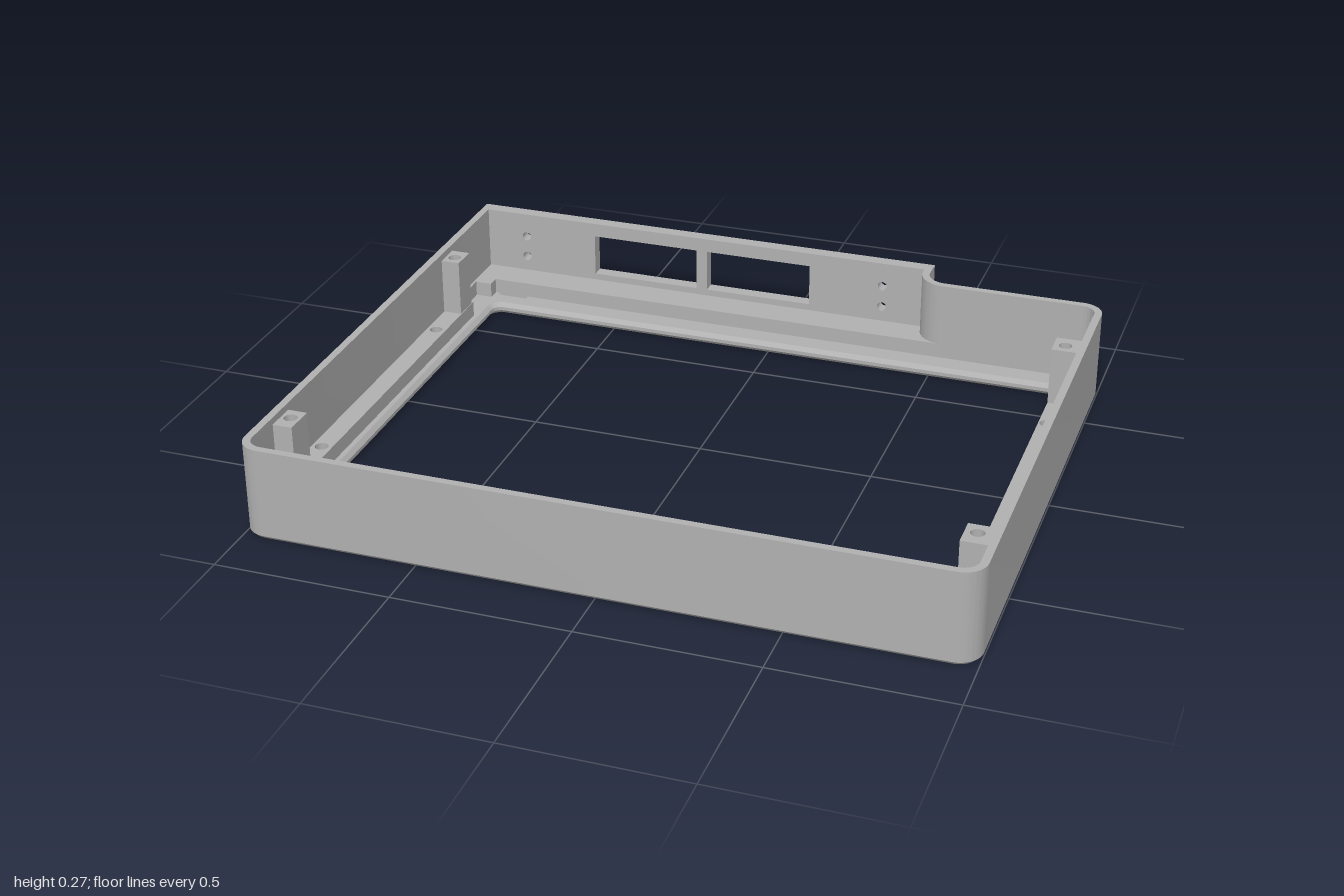
import * as THREE from 'three';
import { toCreasedNormals } from 'three/addons/utils/BufferGeometryUtils.js';

const BACK = -0.847, FRONT = 0.847, TOP = 0.27, LEDGE = 0.08, FLOOR = 0.035, CHAMFER = 0.012;

// Case outline in plan (x, z), moved inwards by d; starts and ends on the back edge
function outline(d) {
  const r = 0.065, c = 1 - r, zf = FRONT - r, zb = -0.73 + r, H = Math.PI / 2;
  const s = new THREE.Shape();
  s.moveTo(0.46 - d, BACK + d);
  s.lineTo(0.46 - d, -0.79);
  s.absarc(0.52, -0.79, 0.06 + d, Math.PI, H, true);
  s.absarc(c, zb, r - d, -H, 0, false);
  s.absarc(c, zf, r - d, 0, H, false);
  s.absarc(-c, zf, r - d, H, Math.PI, false);
  s.lineTo(-1 + d, BACK + d);
  return s;
}

function circle(x, y, r) {
  return new THREE.Path().absarc(x, y, r, 0, Math.PI * 2, false);
}

function rect(x0, y0, x1, y1, Type = THREE.Path) {
  return new Type([[x0, y0], [x1, y0], [x1, y1], [x0, y1]].map(p => new THREE.Vector2(...p)));
}

// Plan shape raised between two heights, optionally with chamfered edges
function slab(shape, y0, y1, bevel = 0) {
  const g = new THREE.ExtrudeGeometry(shape, {
    depth: y1 - y0 - 2 * bevel, curveSegments: 12, bevelEnabled: bevel > 0,
    bevelThickness: bevel, bevelSize: bevel, bevelOffset: -bevel, bevelSegments: 1,
  });
  g.rotateX(Math.PI / 2).translate(0, y1 - bevel, 0);
  return toCreasedNormals(g, 0.5);
}

export function createModel() {
  const group = new THREE.Group();
  const grey = new THREE.MeshStandardMaterial({ color: 0xb0b0b0 });
  grey.name = 'case grey';
  const add = (name, geometry) => {
    const mesh = new THREE.Mesh(geometry, grey);
    mesh.name = name;
    group.add(mesh);
  };

  // Floor with the screen window and a shallow square socket underneath
  const floor = outline(0);
  const x = 0.893, z0 = -0.635, z1 = 0.743, r = 0.03;
  const opening = new THREE.Path();
  opening.absarc(x - r, z0 + r, r, -Math.PI / 2, 0, false);
  opening.absarc(x - r, z1 - r, r, 0, Math.PI / 2, false);
  opening.absarc(-x + r, z1 - r, r, Math.PI / 2, Math.PI, false);
  opening.absarc(-x + r, z0 + r, r, Math.PI, Math.PI * 1.5, false);
  opening.closePath();
  floor.holes.push(opening, rect(-0.895, -0.775, -0.825, -0.705));
  add('floor', slab(floor, 0, FLOOR, CHAMFER));

  // Thin wall round the sides and front, leaving the back panel open
  const wall = new THREE.Shape([
    ...outline(0).getPoints(12), ...outline(0.022).getPoints(12).reverse(),
  ]);
  add('sideWall', slab(wall, CHAMFER, TOP));

  // Raised ledge around the screen pocket, with four corner recesses
  const ledge = outline(0.013);
  const pocket = [
    [-0.92, -0.708], [0.9, -0.708], [0.9, -0.67], [0.94, -0.67], [0.94, -0.53], [0.9, -0.53],
    [0.9, 0.67], [0.94, 0.67], [0.94, 0.81], [0.9, 0.81], [0.9, 0.757],
    [-0.92, 0.757], [-0.92, 0.81], [-0.97, 0.81], [-0.97, 0.67], [-0.92, 0.67],
    [-0.92, -0.53], [-0.97, -0.53], [-0.97, -0.67], [-0.92, -0.67],
  ];
  ledge.holes.push(new THREE.Path(pocket.map(p => new THREE.Vector2(...p))));
  for (const hx of [-0.95, 0.923])
    for (const hz of [-0.315, 0.46]) ledge.holes.push(circle(hx, hz, 0.019));
  add('screenLedge', slab(ledge, 0.025, LEDGE));

  // Screw posts against both side walls
  for (const [xa, xb, hx] of [[-0.985, -0.922, -0.95], [0.9, 0.985, 0.934]])
    for (const [za, zb, hz] of [[-0.52, -0.44, -0.475], [0.58, 0.67, 0.62]]) {
      const post = rect(xa, za, xb, zb, THREE.Shape);
      post.holes.push(circle(hx, hz, 0.019));
      add('screwPost', slab(post, 0.03, 0.25));
    }

  // Thicker back panel with two connector openings and screw holes
  const panel = rect(-1, CHAMFER, 0.46, TOP, THREE.Shape);
  panel.holes.push(rect(-0.25, 0.1, 0.08, 0.228), rect(-0.62, 0.1, -0.285, 0.228));
  for (const hx of [-0.85, 0.31])
    for (const hy of [0.127, 0.195]) panel.holes.push(circle(hx, hy, 0.014));
  const panelGeometry = new THREE.ExtrudeGeometry(panel, { depth: 0.04, bevelEnabled: false });
  panelGeometry.translate(0, 0, BACK);
  add('backPanel', toCreasedNormals(panelGeometry, 0.5));

  return group;
}
